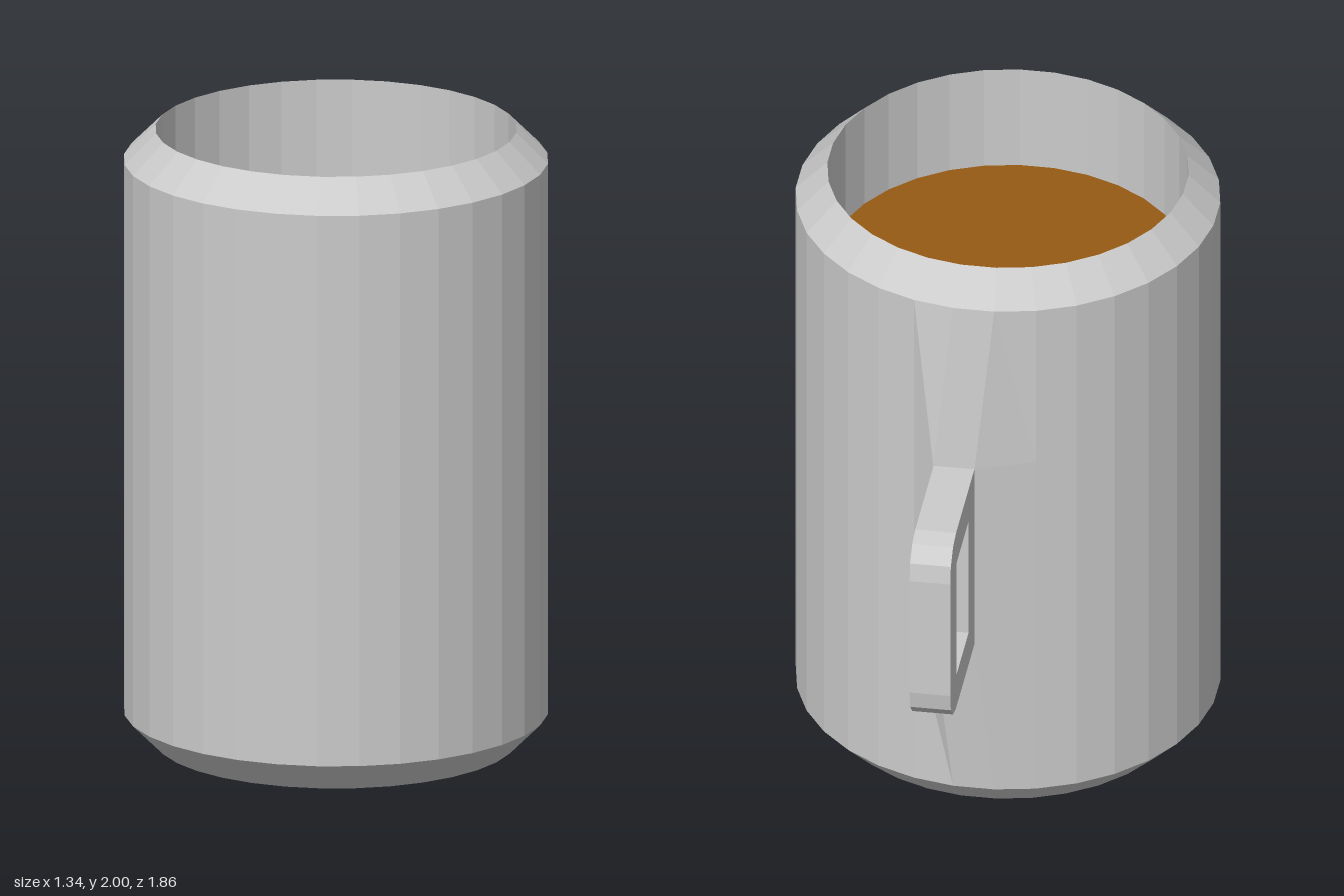
import * as THREE from 'three';

const SIDES = 32, R = 0.67, RIM = 0.57, LEVEL = 1.64, CENTRE_Z = 0.26;
const ROOT_LOW = 0.67, ROOT_HIGH = 1.33, ROOT_SHIFT = [0.06, -0.04];

// Cup wall: bevelled cylinder; one facet is pulled out to form the handle root
function createCup(material) {
  const profile = [
    [0, 0], [RIM, 0], [R, 0.1], [R, ROOT_LOW], [R, ROOT_HIGH],
    [R, 1.9], [RIM, 2], [RIM, LEVEL],
  ].map(([r, y]) => new THREE.Vector2(r, y));
  const geometry = new THREE.LatheGeometry(profile, SIDES);
  const pos = geometry.attributes.position;
  for (const column of [SIDES / 2 - 1, SIDES / 2]) {
    for (const row of [3, 4]) {
      const i = column * profile.length + row;
      pos.setX(i, pos.getX(i) + ROOT_SHIFT[0]);
      pos.setZ(i, pos.getZ(i) + ROOT_SHIFT[1]);
    }
  }
  const cup = new THREE.Mesh(geometry, material);
  cup.name = 'cup';
  cup.position.z = CENTRE_Z;
  return cup;
}

// Drink surface
function createDrink() {
  const geometry = new THREE.CircleGeometry(RIM, SIDES).rotateX(-Math.PI / 2);
  const drink = new THREE.Mesh(geometry, new THREE.MeshStandardMaterial({ color: 0x965a14 }));
  drink.name = 'drink';
  drink.position.set(0, LEVEL, CENTRE_Z);
  return drink;
}

// Handle: flat loop with chamfered outer corners, slightly skewed off the back
function createHandle(material) {
  const corner = [[0.37, ROOT_LOW], [0.43, 0.685], [0.475, 0.73], [0.485, 0.79]];
  const mirrored = corner.map(([s, y]) => [s, 2 - y]).reverse();
  const toPoints = (list) => list.map(([s, y]) => new THREE.Vector2(s, y));
  const shape = new THREE.Shape(toPoints([[0, ROOT_LOW], ...corner, ...mirrored, [0, ROOT_HIGH]]));
  shape.holes.push(new THREE.Path(toPoints([[0.117, 0.79], [0.117, 1.21], [0.362, 1.21], [0.362, 0.79]])));
  const geometry = new THREE.ExtrudeGeometry(shape, { depth: 0.13, bevelEnabled: false });
  const handle = new THREE.Mesh(geometry, material);
  handle.name = 'handle';
  handle.rotation.y = Math.atan2(0.996, 0.092);
  handle.position.set(ROOT_SHIFT[0], 0, CENTRE_Z - R + ROOT_SHIFT[1]);
  return handle;
}

export function createModel() {
  const grey = new THREE.MeshStandardMaterial({ color: 0xcccccc, flatShading: true });
  const model = new THREE.Group();
  model.name = 'mug';
  model.add(createCup(grey), createDrink(), createHandle(grey));
  return model;
}
